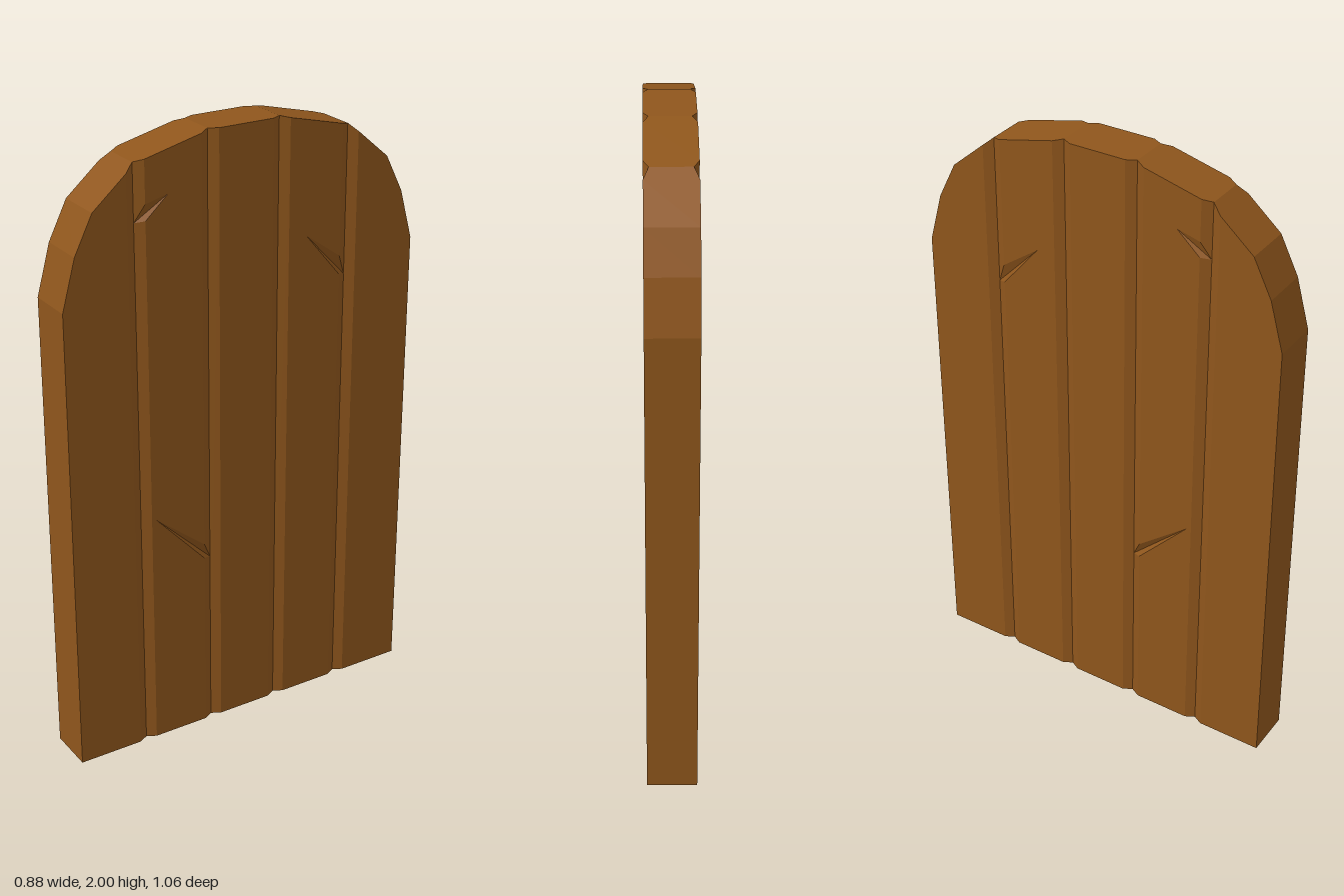
import * as THREE from 'three';

const FACE = 0.078, VALLEY = 0.062, BEVEL = 0.03, HALF = 0.614;
const grooves = [-HALF, -0.37, -0.123, 0.123, 0.37, HALF];

// arched top: [distance from the middle, height]
const arch = [[0, 2], [0.123, 2], [0.37, 1.94], [0.51, 1.82], [0.57, 1.70], [HALF, 1.54]];
function topAt(x) {
  const d = Math.min(Math.abs(x), HALF);
  const i = Math.max(1, arch.findIndex(p => p[0] >= d));
  const [a, b] = [arch[i - 1], arch[i]];
  return a[1] + (b[1] - a[1]) * (d - a[0]) / (b[0] - a[0]);
}

// splits in the wood, running from a plank's edge to a tip (cut on both faces)
const cracks = [
  { plank: 1, side: -1, tip: [-0.263, 1.835], low: 1.765, high: 1.815, valley: 1.76 },
  { plank: 1, side: 1, tip: [-0.328, 0.80], low: 0.61, high: 0.66, valley: 0.60 },
  { plank: 3, side: 1, tip: [0.214, 1.62], low: 1.47, high: 1.53, valley: 1.46 },
];

function plankGeometry(index) {
  const pos = [];
  const tri = (...pts) => pts.forEach(p => pos.push(...p));
  const quad = (a, b, c, d) => { tri(a, b, c); tri(a, c, d); };
  const back = p => [p[0], p[1], -p[2]];
  const both = (a, b, c) => { tri(a, b, c); tri(back(c), back(b), back(a)); };
  const bothQuad = (a, b, c, d) => { both(a, b, c); both(a, c, d); };

  const ends = [grooves[index], grooves[index + 1]];
  const outer = [index === 0, index === grooves.length - 2];
  const left = ends[0] + (outer[0] ? 0 : BEVEL), right = ends[1] - (outer[1] ? 0 : BEVEL);
  const crackOn = side => cracks.find(c => c.plank === index && c.side === side);

  // flat face outline with the crack notches
  const inner = arch.flatMap(p => [-p[0], p[0]]).filter(x => x > left + 1e-4 && x < right - 1e-4 && x !== 0);
  const xs = [left, ...inner.sort((a, b) => a - b), right];
  const notch = (c, x) => c ? [[x, c.low], c.tip, [x, c.high]] : [];
  const outline = [
    [left, 0], [right, 0], ...notch(crackOn(1), right),
    ...xs.map(x => [x, topAt(x)]).reverse(), ...notch(crackOn(-1), left).reverse(),
  ].map(p => new THREE.Vector2(...p));
  const at = p => [p.x, p.y, FACE];
  for (const [a, b, c] of THREE.ShapeUtils.triangulateShape(outline, [])) {
    both(at(outline[a]), at(outline[b]), at(outline[c]));
  }

  // bevels into the grooves, opened where a crack starts
  for (const side of [-1, 1]) {
    const k = (side + 1) / 2;
    if (outer[k]) continue;
    const edge = side < 0 ? left : right, mid = ends[k];
    const e = y => [edge, y, FACE], m = y => [mid, y, VALLEY];
    const face = (a, b, c, d) => side > 0 ? bothQuad(a, b, c, d) : bothQuad(d, c, b, a);
    const c = crackOn(side);
    if (!c) {
      face(e(0), m(0), m(topAt(mid)), e(topAt(edge)));
      continue;
    }
    face(e(0), m(0), m(c.valley), e(c.low));
    face(e(c.high), m(c.valley), m(topAt(mid)), e(topAt(edge)));
    const tip = [...c.tip, FACE];
    const wall = (p, q, r) => side > 0 ? both(p, q, r) : both(r, q, p);
    wall(e(c.low), m(c.valley), tip);
    wall(m(c.valley), e(c.high), tip);
  }

  // top and bottom rims
  const rim = xs.map(x => [x, FACE]);
  if (!outer[0]) rim.unshift([ends[0], VALLEY]);
  if (!outer[1]) rim.push([ends[1], VALLEY]);
  for (let i = 1; i < rim.length; i++) {
    const [[x0, z0], [x1, z1]] = [rim[i - 1], rim[i]];
    const y0 = topAt(x0), y1 = topAt(x1);
    quad([x0, y0, z0], [x1, y1, z1], [x1, y1, -z1], [x0, y0, -z0]);
    quad([x0, 0, -z0], [x1, 0, -z1], [x1, 0, z1], [x0, 0, z0]);
  }

  // outer side edges of the door
  const h = topAt(HALF);
  if (outer[0]) quad([-HALF, 0, -FACE], [-HALF, 0, FACE], [-HALF, h, FACE], [-HALF, h, -FACE]);
  if (outer[1]) quad([HALF, 0, FACE], [HALF, 0, -FACE], [HALF, h, -FACE], [HALF, h, FACE]);

  const g = new THREE.BufferGeometry();
  g.setAttribute('position', new THREE.Float32BufferAttribute(pos, 3));
  g.computeVertexNormals();
  return g;
}

export function createModel() {
  const model = new THREE.Group();
  model.name = 'woodenDoor';
  const wood = new THREE.MeshStandardMaterial({ color: 0x8f561c, flatShading: true });
  for (let i = 0; i < grooves.length - 1; i++) {
    const plank = new THREE.Mesh(plankGeometry(i), wood);
    plank.name = `plank${i + 1}`;
    model.add(plank);
  }
  // the door stands half open
  model.rotation.y = 0.904;
  return model;
}
